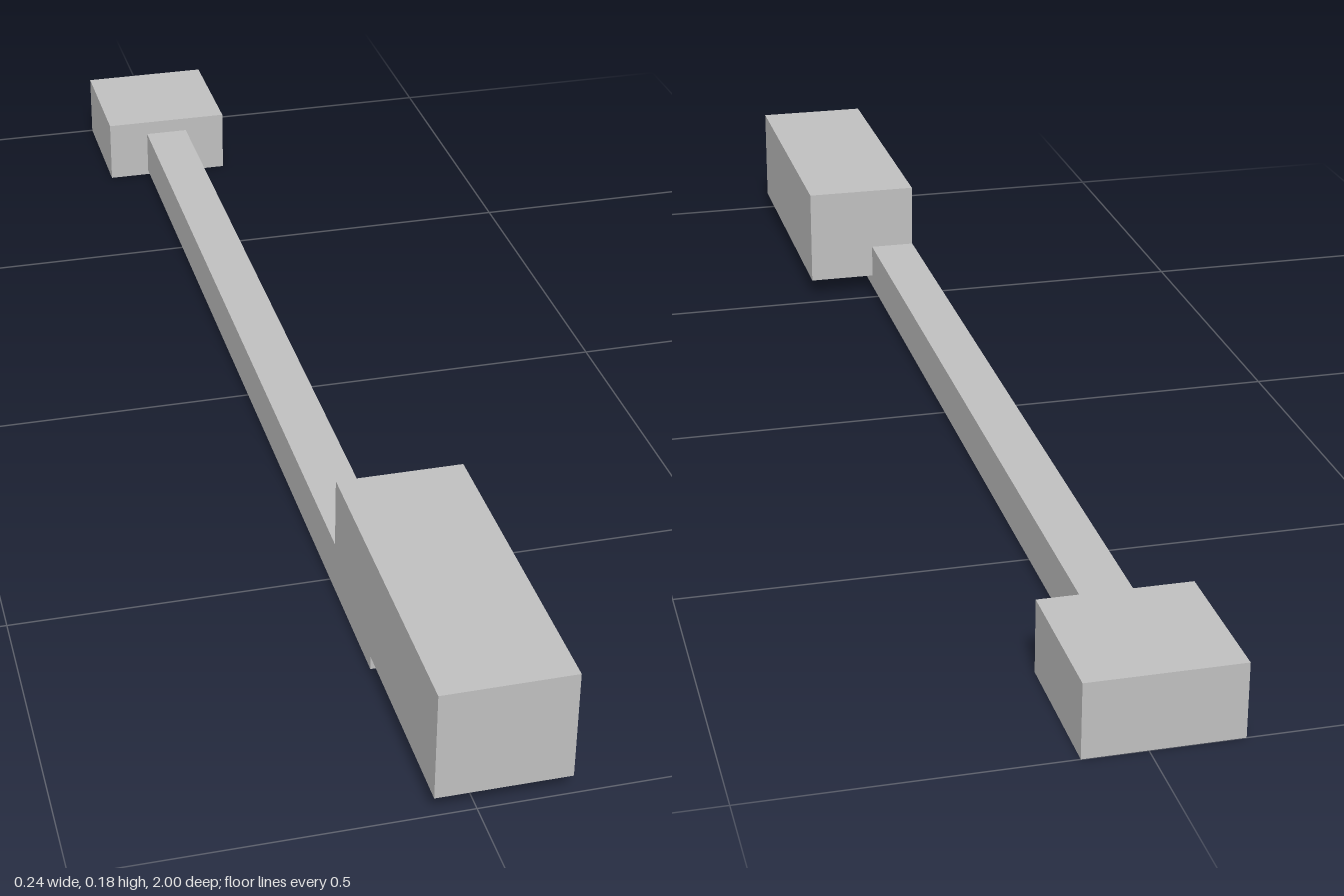
import * as THREE from 'three';

export function createModel() {
  const group = new THREE.Group();
  const grey = new THREE.MeshStandardMaterial({ color: 0xc0c0c0 });
  grey.name = 'plainGrey';

  // Box spanning two opposite corners
  function block(name, [x0, y0, z0], [x1, y1, z1]) {
    const mesh = new THREE.Mesh(new THREE.BoxGeometry(x1 - x0, y1 - y0, z1 - z0), grey);
    mesh.position.set((x0 + x1) / 2, (y0 + y1) / 2, (z0 + z1) / 2);
    mesh.name = name;
    group.add(mesh);
  }

  // Large block at the front, resting over the end of the bar
  block('frontBlock', [-0.055, 0.027, 0.532], [0.122, 0.182, 1]);
  // Long slender bar, set into both blocks
  block('bar', [-0.055, 0.007, -0.795], [0.016, 0.08, 0.715]);
  // Low block at the back
  block('backBlock', [-0.122, 0, -1], [0.084, 0.103, -0.793]);

  return group;
}
